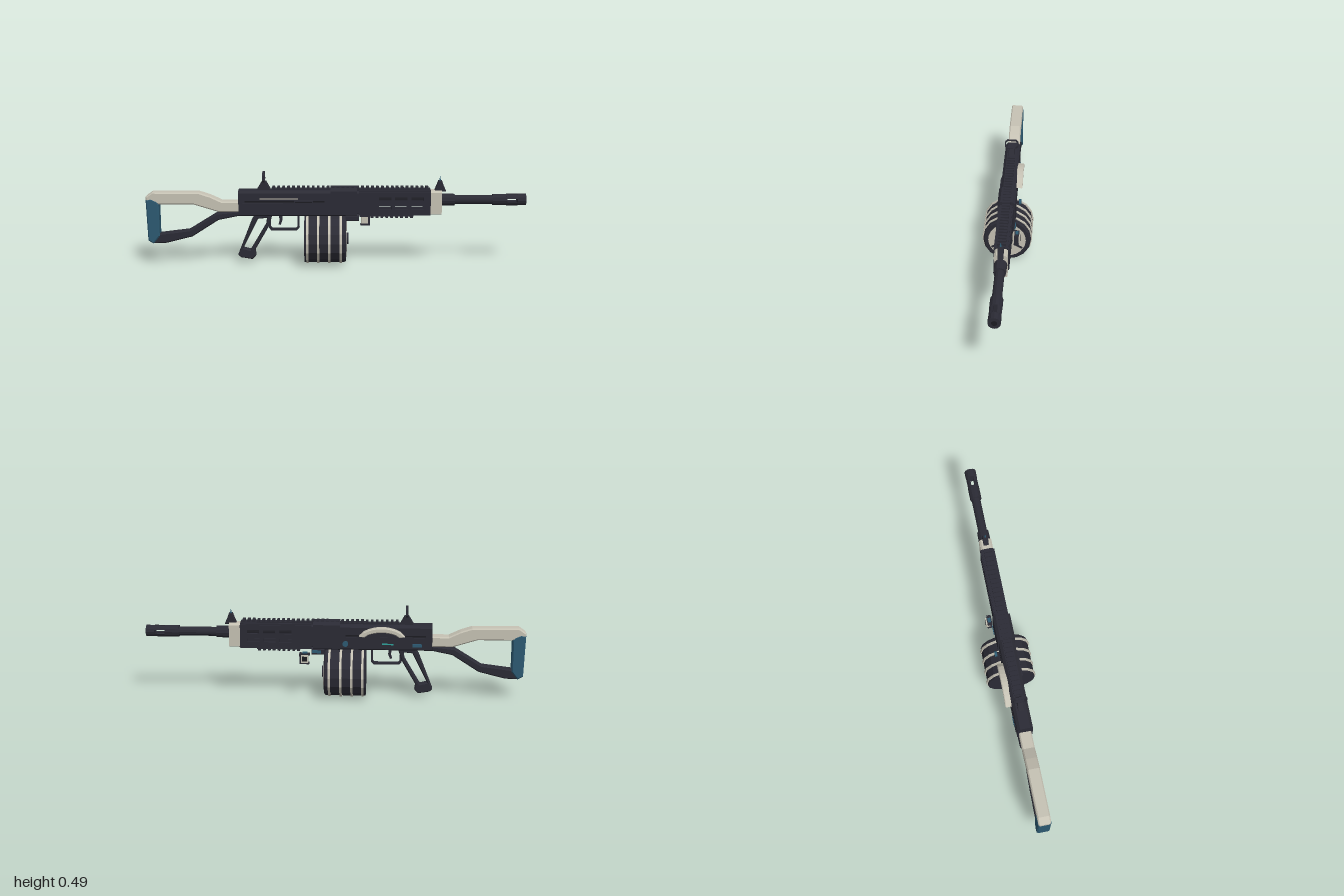
import * as THREE from 'three';

const mat = (name, color) => Object.assign(new THREE.MeshStandardMaterial({ color }), { name });

export function createModel() {
  const dark = mat('dark metal', 0x2b2b35);
  const black = mat('black recess', 0x1b1b21);
  const cream = mat('cream', 0xc6c2b4);
  const blue = mat('steel blue', 0x2d5a72);
  const teal = mat('bright teal', 0x2fa39c);
  const root = new THREE.Group();

  const add = (name, geo, material) => {
    const m = new THREE.Mesh(geo, material);
    m.name = name;
    root.add(m);
    return m;
  };
  // box from min/max limits
  const box = (name, x0, x1, y0, y1, z0, z1, material) => {
    const g = new THREE.BoxGeometry(x1 - x0, y1 - y0, z1 - z0);
    g.translate((x0 + x1) / 2, (y0 + y1) / 2, (z0 + z1) / 2);
    return add(name, g, material);
  };
  const toV = (pts) => pts.map(([x, y]) => new THREE.Vector2(x, y));
  // side outline extruded across z, with chamfered edges and optional holes
  const slab = (name, pts, z0, z1, material, bevel = 0, holes = []) => {
    const s = new THREE.Shape(toV(pts));
    holes.forEach((h) => s.holes.push(new THREE.Path(toV(h))));
    const g = new THREE.ExtrudeGeometry(s, {
      depth: z1 - z0 - 2 * bevel, bevelEnabled: bevel > 0, bevelSize: bevel,
      bevelOffset: -bevel, bevelThickness: bevel, bevelSegments: 1,
    });
    g.translate(0, 0, z0 + bevel);
    return add(name, g, material);
  };
  // chamfered cross-section (half width w, y0 to y1) run along x
  const beam = (name, x0, x1, y0, y1, w, c, material) => {
    const s = new THREE.Shape(toV([[-w + c / 2, y0], [w - c / 2, y0], [w, y0 + c / 2], [w, y1 - c],
      [w - c, y1], [-w + c, y1], [-w, y1 - c], [-w, y0 + c / 2]]));
    const g = new THREE.ExtrudeGeometry(s, { depth: x1 - x0, bevelEnabled: false });
    g.rotateY(Math.PI / 2).translate(x0, 0, 0);
    return add(name, g, material);
  };
  // faceted cylinder along x
  const rod = (name, x0, x1, y, r0, r1, sides, material) => {
    let g = new THREE.CylinderGeometry(r1, r0, x1 - x0, sides);
    g.rotateZ(-Math.PI / 2).translate((x0 + x1) / 2, y, 0);
    g = g.toNonIndexed();
    g.computeVertexNormals();
    return add(name, g, material);
  };
  const rect = (x0, x1, y0, y1) => [[x0, y0], [x1, y0], [x1, y1], [x0, y1]];

  // receiver and its front block
  beam('receiver', -0.513, -0.025, 0.265, 0.4, 0.04, 0.014, dark);
  beam('frontBlock', -0.03, 0.11, 0.265, 0.413, 0.046, 0.014, dark);
  beam('magazineWell', 0.05, 0.12, 0.237, 0.275, 0.044, 0.01, dark);
  beam('innerBlock', 0.1, 0.13, 0.275, 0.395, 0.034, 0.01, dark);
  for (const s of [1, -1]) {
    const z = (a, b) => (s > 0 ? [a, b] : [-b, -a]);
    box('sidePanel', -0.49, -0.05, 0.28, 0.335, ...z(0.039, 0.043), dark);
    box('sideGroove', -0.48, -0.06, 0.34, 0.346, ...z(0.039, 0.042), black);
  }
  box('lightStrip', -0.4, -0.2, 0.354, 0.36, 0.039, 0.042, cream);
  box('sideCatch', -0.22, -0.12, 0.332, 0.352, 0.039, 0.049, dark);
  box('catchGroove', -0.215, -0.125, 0.338, 0.342, 0.0485, 0.05, black);

  // back side: carry arch, charging knob and coloured inlays
  const arch = (y, n, x0, x1, base) => Array.from({ length: n + 1 }, (_, i) =>
    [x0 + (x1 - x0) * i / n, base + (y - base) * Math.sin(Math.PI * i / n) ** 0.6]);
  const outer = arch(0.393, 10, -0.37, -0.13, 0.345);
  const inner = arch(0.368, 10, -0.34, -0.16, 0.342).reverse();
  slab('sideArch', [...outer, ...inner], -0.072, -0.036, cream, 0.004);
  slab('archFiller', inner, -0.066, -0.036, dark);
  const knob = (name, r, z0, z1, material) => {
    const g = new THREE.CylinderGeometry(r, r, z1 - z0, 10);
    g.rotateX(Math.PI / 2).translate(-0.06, 0.304, (z0 + z1) / 2);
    add(name, g, material);
  };
  knob('knobStem', 0.007, -0.06, -0.038, dark);
  knob('chargingKnob', 0.015, -0.069, -0.057, blue);
  box('blueInlay', 0.07, 0.115, 0.247, 0.262, -0.049, -0.043, blue);
  box('rearBlueInlay', -0.46, -0.41, 0.285, 0.303, -0.046, -0.042, blue);
  box('tealInlay', -0.31, -0.25, 0.296, 0.303, -0.046, -0.042, teal);
  box('tealInlay', -0.28, -0.23, 0.348, 0.354, -0.045, -0.039, teal);

  // handguard with vent slots around the barrel
  const vents = [];
  for (let i = 0; i < 3; i++) {
    const x = 0.225 + i * 0.085;
    vents.push(rect(x, x + 0.065, 0.345, 0.365), rect(x, x + 0.065, 0.3, 0.32));
  }
  for (const z of [0.026, -0.038]) slab('handguardSide', rect(0.12, 0.497, 0.27, 0.392), z, z + 0.012, dark, 0, vents);
  box('handguardTop', 0.12, 0.497, 0.38, 0.4, -0.032, 0.032, dark);
  box('handguardFloor', 0.12, 0.497, 0.265, 0.28, -0.032, 0.032, dark);
  rod('innerBarrel', 0.12, 0.5, 0.34, 0.016, 0.016, 10, black);
  beam('handguardCap', 0.495, 0.556, 0.27, 0.398, 0.033, 0.01, cream);

  // toothed rails above and below
  box('topRail', -0.34, 0.495, 0.395, 0.407, -0.018, 0.018, dark);
  for (let x = -0.335; x < 0.485; x += 0.026) box('railTooth', x, x + 0.014, 0.405, 0.417, -0.021, 0.021, dark);
  box('lowerRail', 0.18, 0.41, 0.257, 0.267, -0.016, 0.016, dark);
  for (let x = 0.183; x < 0.4; x += 0.026) box('lowerRailTooth', x, x + 0.014, 0.249, 0.259, -0.02, 0.02, dark);

  // barrel and slotted muzzle
  rod('barrelCollar', 0.55, 0.625, 0.345, 0.033, 0.031, 12, dark);
  rod('barrel', 0.62, 0.835, 0.345, 0.024, 0.024, 14, dark);
  rod('muzzleBase', 0.825, 0.9, 0.345, 0.031, 0.031, 12, dark);
  rod('muzzleTip', 0.955, 1, 0.345, 0.031, 0.031, 12, dark);
  rod('muzzleBore', 0.999, 1.0005, 0.345, 0.014, 0.014, 12, black);
  for (const y of [-1, 1]) for (const z of [-1, 1]) {
    const s = new THREE.Shape(toV([[0.01, 0.01], [0.029, 0.01], [0.022, 0.022], [0.01, 0.029]]
      .map(([a, b]) => [a * z, b * y])));
    const g = new THREE.ExtrudeGeometry(s, { depth: 0.06, bevelEnabled: false });
    g.rotateY(Math.PI / 2).translate(0.897, 0.345, 0);
    add('muzzleBar', g, dark);
  }

  // rear sight: foot and chamfered loop
  slab('rearSightFoot', [[-0.42, 0.395], [-0.34, 0.395], [-0.368, 0.445], [-0.39, 0.445]], -0.016, 0.016, dark, 0.003);
  const ring = (w, h, c) => toV([[-w + c, -h], [w - c, -h], [w, -h + c], [w, h - c],
    [w - c, h], [-w + c, h], [-w, h - c], [-w, -h + c]]);
  const loop = new THREE.Shape(ring(0.036, 0.027, 0.012));
  loop.holes.push(new THREE.Path(ring(0.031, 0.022, 0.01)));
  const loopGeo = new THREE.ExtrudeGeometry(loop, { depth: 0.012, bevelEnabled: false });
  add('rearSightLoop', loopGeo.rotateY(Math.PI / 2).translate(-0.386, 0.468, 0), dark);

  // front sight
  slab('frontSightFoot', [[0.515, 0.39], [0.58, 0.39], [0.565, 0.425], [0.557, 0.448], [0.538, 0.448], [0.53, 0.425]],
    -0.014, 0.014, dark, 0.003);
  add('frontSightPost', new THREE.ConeGeometry(0.006, 0.027, 6).translate(0.547, 0.458, 0), blue);

  // shoulder stock: upper arm, lower strut and butt plate
  slab('stockArm', [[-0.51, 0.34], [-0.6, 0.34], [-0.66, 0.368], [-0.72, 0.388], [-0.965, 0.39], [-1, 0.365], [-1, 0.345],
    [-0.93, 0.325], [-0.75, 0.325], [-0.62, 0.285], [-0.51, 0.285]], -0.032, 0.032, cream, 0.006);
  slab('stockStrut', [[-0.51, 0.287], [-0.63, 0.275], [-0.775, 0.185], [-0.935, 0.165], [-0.98, 0.13], [-0.965, 0.113],
    [-0.9, 0.115], [-0.76, 0.15], [-0.62, 0.24], [-0.51, 0.262]], -0.026, 0.026, dark, 0.006);
  slab('buttPlate', [[-1, 0.35], [-0.975, 0.357], [-0.94, 0.342], [-0.932, 0.325], [-0.932, 0.155], [-0.965, 0.113],
    [-0.993, 0.13]], -0.034, 0.034, blue, 0.006);

  // open-framed grip
  slab('grip', [[-0.425, 0.268], [-0.445, 0.24], [-0.52, 0.05], [-0.505, 0.035], [-0.445, 0.025], [-0.425, 0.045],
    [-0.43, 0.075], [-0.355, 0.205], [-0.335, 0.268]], -0.022, 0.022, dark, 0.005,
    [[[-0.412, 0.245], [-0.365, 0.25], [-0.37, 0.215], [-0.453, 0.075], [-0.492, 0.085]]]);

  // trigger and guard
  slab('triggerGuard', [[-0.355, 0.27], [-0.355, 0.195], [-0.343, 0.18], [-0.208, 0.18], [-0.193, 0.195], [-0.193, 0.27]],
    -0.012, 0.012, dark, 0,
    [[[-0.345, 0.262], [-0.345, 0.2], [-0.337, 0.19], [-0.212, 0.19], [-0.203, 0.2], [-0.203, 0.262]]]);
  slab('trigger', [[-0.305, 0.27], [-0.298, 0.235], [-0.305, 0.212], [-0.293, 0.21], [-0.284, 0.235], [-0.285, 0.27]],
    -0.007, 0.007, dark);

  // drum magazine with cream ribs
  const dy = 0.134;
  rod('drumBody', -0.167, 0.045, dy, 0.127, 0.127, 16, dark);
  for (const x of [-0.157, -0.1, -0.042, 0.018]) rod('drumRib', x, x + 0.012, dy, 0.133, 0.133, 16, cream);
  rod('drumFrontRim', 0.044, 0.052, dy, 0.127, 0.12, 16, dark);
  rod('drumFace', 0.05, 0.055, dy, 0.1, 0.1, 24, cream);
  rod('drumHub', 0.05, 0.066, dy, 0.032, 0.03, 14, dark);
  for (let i = 0; i < 3; i++) {
    const g = new THREE.BoxGeometry(0.006, 0.052, 0.012).translate(0.054, 0.068, 0);
    g.rotateX(i * Math.PI * 2 / 3).translate(0, dy, 0);
    add('drumSpoke', g, dark);
  }

  // small side lamp
  box('lampBody', 0.135, 0.172, 0.2, 0.243, -0.077, -0.055, cream);
  box('lampFront', 0.17, 0.182, 0.192, 0.25, -0.068, -0.045, dark);
  box('lampTop', 0.126, 0.172, 0.241, 0.25, -0.07, -0.045, dark);
  box('lampBottom', 0.13, 0.172, 0.192, 0.201, -0.07, -0.045, dark);
  box('lampLens', 0.14, 0.166, 0.209, 0.235, -0.0785, -0.0765, black);
  box('lampInlay', 0.14, 0.165, 0.249, 0.255, -0.066, -0.05, blue);

  return root;
}
